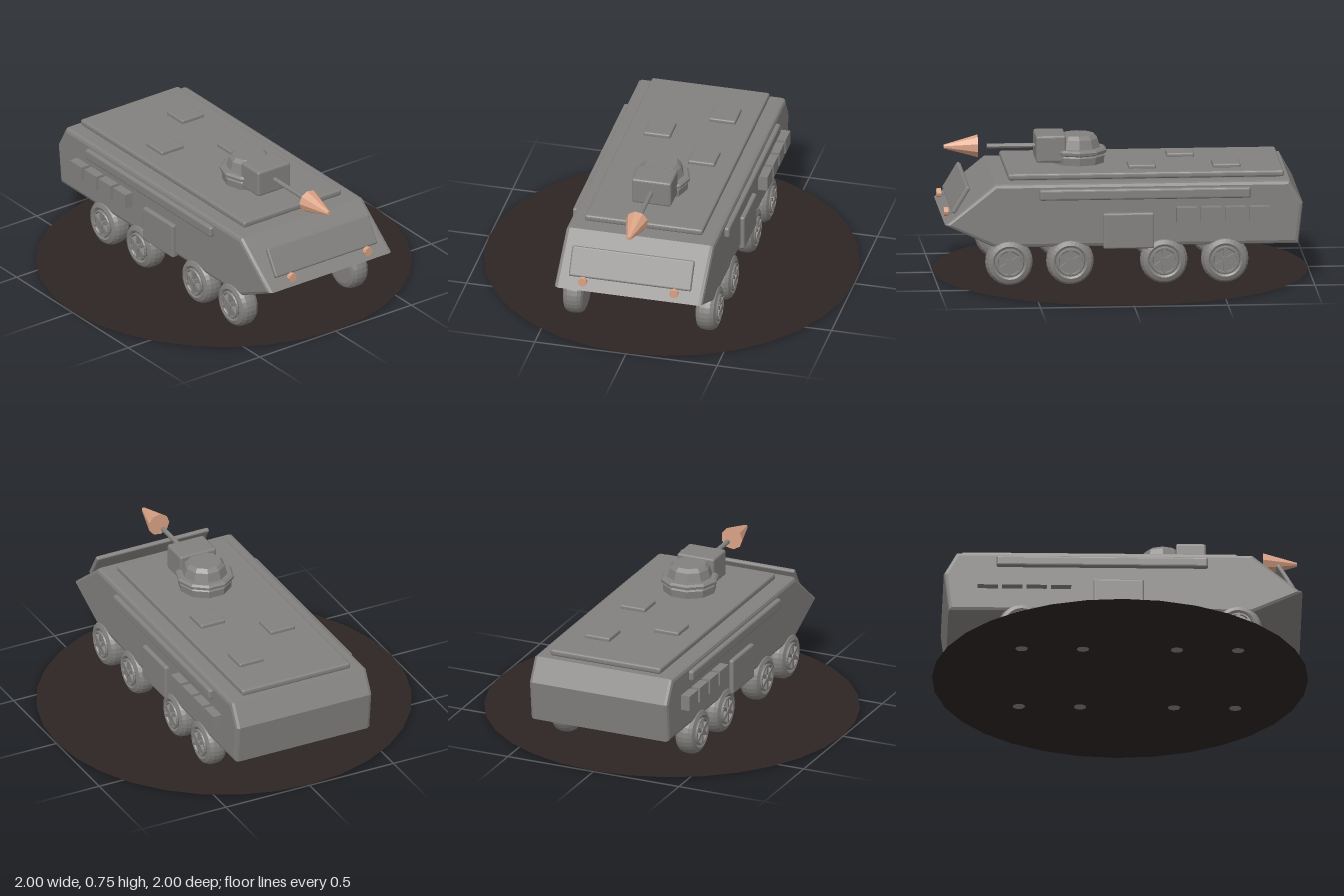
import * as THREE from 'three';
import { RoundedBoxGeometry } from 'three/addons/geometries/RoundedBoxGeometry.js';

const armour = new THREE.MeshStandardMaterial({ color: 0x83817f });
armour.name = 'armour grey';
armour.flatShading = true;
const tan = new THREE.MeshStandardMaterial({ color: 0xd9a285 });
tan.name = 'tan';
tan.flatShading = true;
const dark = new THREE.MeshStandardMaterial({ color: 0x2e2424, side: THREE.DoubleSide });
dark.name = 'dark ground';

function add(parent, name, geometry, material, x = 0, y = 0, z = 0) {
  const mesh = new THREE.Mesh(geometry, material);
  mesh.name = name;
  mesh.position.set(x, y, z);
  parent.add(mesh);
  return mesh;
}

// Softly bevelled box given by its extents
function slab(parent, name, [x0, x1], [y0, y1], [z0, z1], radius = 0.01) {
  const geometry = new RoundedBoxGeometry(x1 - x0, y1 - y0, z1 - z0, 2, radius);
  return add(parent, name, geometry, armour, (x0 + x1) / 2, (y0 + y1) / 2, (z0 + z1) / 2);
}

// Wheel with its outer face towards +z
function makeWheel() {
  const wheel = new THREE.Group();
  wheel.name = 'wheel';
  const profile = [
    [0, -0.055], [0.09, -0.055], [0.112, -0.047], [0.124, -0.028], [0.127, 0],
    [0.124, 0.028], [0.112, 0.047], [0.09, 0.056], [0.08, 0.05], [0.078, 0.035], [0, 0.035],
  ].map(([r, h]) => new THREE.Vector2(r, h));
  add(wheel, 'tyre', new THREE.LatheGeometry(profile, 28).rotateX(Math.PI / 2), armour);
  add(wheel, 'rimRing', new THREE.TorusGeometry(0.068, 0.008, 6, 24), armour, 0, 0, 0.054);
  add(wheel, 'hub', new THREE.CylinderGeometry(0.02, 0.022, 0.035, 12).rotateX(Math.PI / 2), armour, 0, 0, 0.05);
  for (let i = 0; i < 3; i++) {
    const spoke = add(wheel, 'spokePair', new THREE.BoxGeometry(0.132, 0.017, 0.028), armour, 0, 0, 0.048);
    spoke.rotation.z = (i * Math.PI) / 3 + Math.PI / 6;
  }
  return wheel;
}

function makeTurret() {
  const turret = new THREE.Group();
  turret.name = 'turret';
  turret.position.set(0.225, 0, 0);
  // Faceted ring and dome
  const profile = [
    [0, 0.585], [0.142, 0.585], [0.146, 0.63], [0.138, 0.638], [0.155, 0.645],
    [0.157, 0.66], [0.145, 0.67], [0.122, 0.672], [0.108, 0.72], [0.088, 0.74], [0, 0.74],
  ].map(([r, h]) => new THREE.Vector2(r, h));
  add(turret, 'turretDome', new THREE.LatheGeometry(profile, 10), armour);
  slab(turret, 'gunMantlet', [0.07, 0.23], [0.605, 0.75], [-0.108, 0.108], 0.012);
  // Gun and flared muzzle cone, along +x
  const barrel = new THREE.CylinderGeometry(0.013, 0.013, 0.27, 10).rotateZ(-Math.PI / 2);
  add(turret, 'barrel', barrel, armour, 0.35, 0.68, 0);
  const flash = new THREE.CylinderGeometry(0.011, 0.062, 0.18, 9).rotateZ(-Math.PI / 2);
  add(turret, 'muzzleFlash', flash, tan, 0.625, 0.68, 0);
  return turret;
}

export function createModel() {
  const model = new THREE.Group();
  model.name = 'armouredCarrier';

  // Ground disc
  add(model, 'groundDisc', new THREE.CircleGeometry(1, 32).rotateX(-Math.PI / 2), dark, 0, 0.005, 0);

  // Hull from its side profile
  const outline = [
    [-0.92, 0.207], [0.695, 0.207], [0.962, 0.332], [0.695, 0.55], [-0.875, 0.55], [-0.945, 0.425],
  ].map(([x, y]) => new THREE.Vector2(x, y));
  const hull = new THREE.ExtrudeGeometry(new THREE.Shape(outline), {
    depth: 0.77, bevelSize: 0.02, bevelThickness: 0.02, bevelOffset: -0.02, bevelSegments: 2,
  });
  add(model, 'hull', hull.translate(0, 0, -0.385), armour);

  // Roof plate and hatches
  slab(model, 'roofPlate', [-0.85, 0.62], [0.555, 0.59], [-0.323, 0.323], 0.012);
  slab(model, 'roofPlinth', [-0.83, 0.6], [0.53, 0.565], [-0.305, 0.305], 0.005);
  for (const [x, z] of [[-0.552, -0.152], [-0.102, -0.152], [-0.328, 0.148]]) {
    slab(model, 'hatch', [x - 0.073, x + 0.073], [0.583, 0.61], [z - 0.073, z + 0.073], 0.009);
  }
  model.add(makeTurret());

  // Leaning trim vane on the nose
  const vane = add(model, 'trimVane', new RoundedBoxGeometry(0.025, 0.163, 0.67, 2, 0.009), armour, 0.873, 0.456, 0);
  vane.rotation.z = 0.54;

  // Fittings repeated on both sides
  for (const side of [1, -1]) {
    const range = (a, b) => (side > 0 ? [a, b] : [-b, -a]);
    slab(model, 'sideRail', [-0.665, 0.46], [0.463, 0.522], range(0.39, 0.43), 0.012);
    slab(model, 'sideDoor', [-0.15, 0.12], [0.197, 0.39], range(0.39, 0.428), 0.01);
    for (let i = 0; i < 4; i++) {
      const x = -0.712 + i * 0.13;
      add(model, 'stowageBox', new THREE.BoxGeometry(0.108, 0.082, 0.07), armour, x, 0.379, side * 0.42);
    }
    const lamp = new THREE.CylinderGeometry(0.024, 0.024, 0.024, 10).rotateZ(Math.PI / 2);
    add(model, 'headlamp', lamp, tan, 0.947, 0.38, side * 0.25);
    const stalk = new THREE.BoxGeometry(0.06, 0.012, 0.012);
    add(model, 'lampBracket', stalk, armour, 0.91, 0.37, side * 0.25);
    for (const x of [-0.53, -0.205, 0.295, 0.62]) {
      const wheel = makeWheel();
      wheel.position.set(x, 0.127, side * 0.363);
      if (side < 0) wheel.rotation.y = Math.PI;
      model.add(wheel);
    }
  }
  return model;
}
